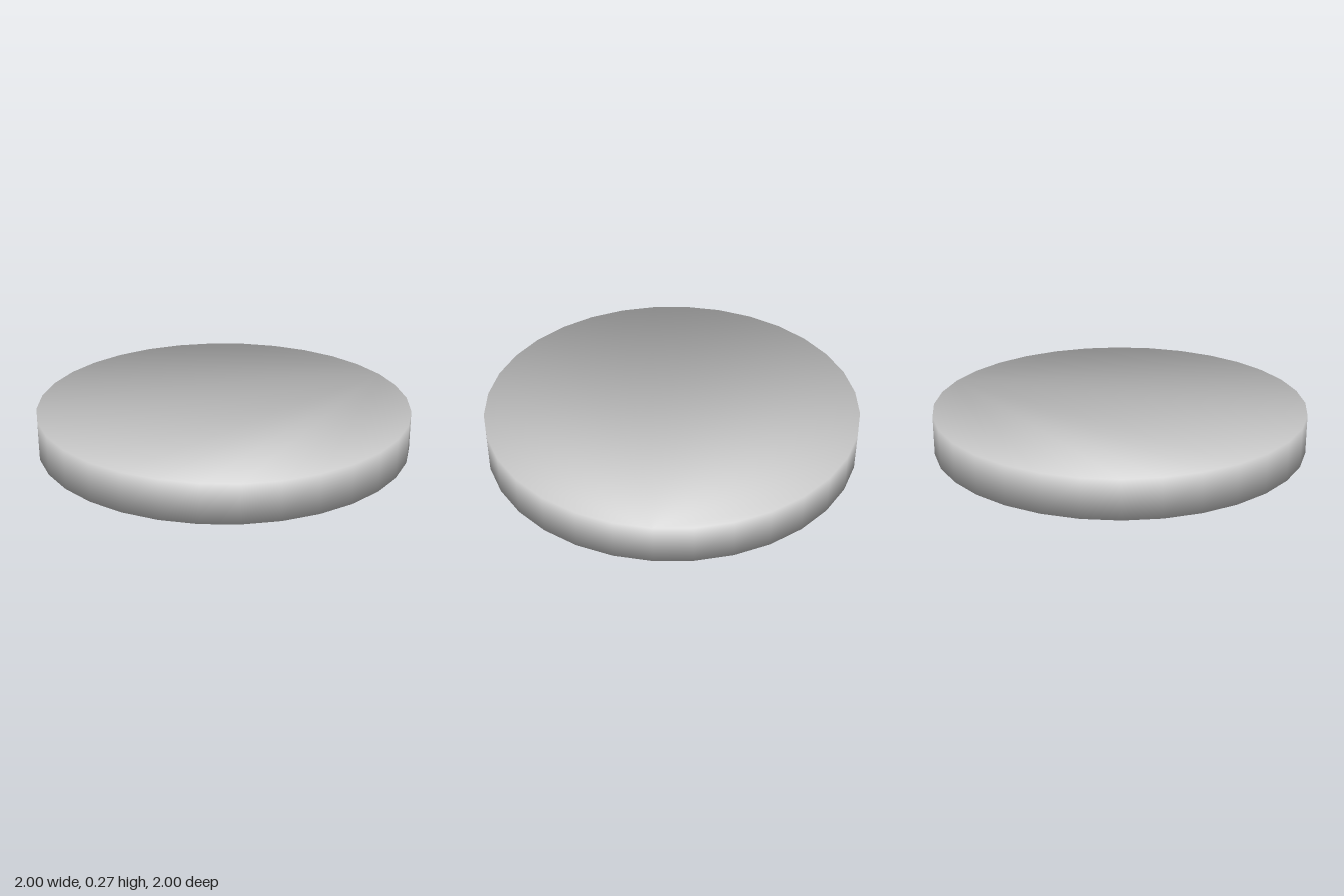
import * as THREE from 'three';

const SIDES = 32;

// Closed disc whose caps and wall share rim vertices, so normals blend softly over the rim.
function softDisc(name, radius, y0, y1, color) {
  const positions = [], normals = [], index = [];
  for (const [y, ny] of [[y0, -1], [y1, 1]]) {
    for (let i = 0; i < SIDES; i++) {
      const a = (i / SIDES) * Math.PI * 2;
      const c = Math.cos(a), s = Math.sin(a);
      positions.push(radius * c, y, radius * s);
      normals.push(c * Math.SQRT1_2, ny * Math.SQRT1_2, s * Math.SQRT1_2);
    }
  }
  // Wall
  for (let i = 0; i < SIDES; i++) {
    const j = (i + 1) % SIDES;
    index.push(i, SIDES + i, j, j, SIDES + i, SIDES + j);
  }
  // Bottom and top caps, without a centre vertex
  for (let i = 1; i < SIDES - 1; i++) {
    index.push(0, i, i + 1);
    index.push(SIDES, SIDES + i + 1, SIDES + i);
  }
  const geometry = new THREE.BufferGeometry();
  geometry.setAttribute('position', new THREE.Float32BufferAttribute(positions, 3));
  geometry.setAttribute('normal', new THREE.Float32BufferAttribute(normals, 3));
  geometry.setIndex(index);
  const mesh = new THREE.Mesh(geometry, new THREE.MeshStandardMaterial({ color }));
  mesh.name = name;
  return mesh;
}

export function createModel() {
  const group = new THREE.Group();
  group.name = 'steppedDisc';
  group.add(softDisc('base', 0.86, 0, 0.06, 0xd0c8bb)); // narrower foot
  group.add(softDisc('top', 1, 0.06, 0.27, 0xcccccc)); // wide upper disc
  return group;
}
